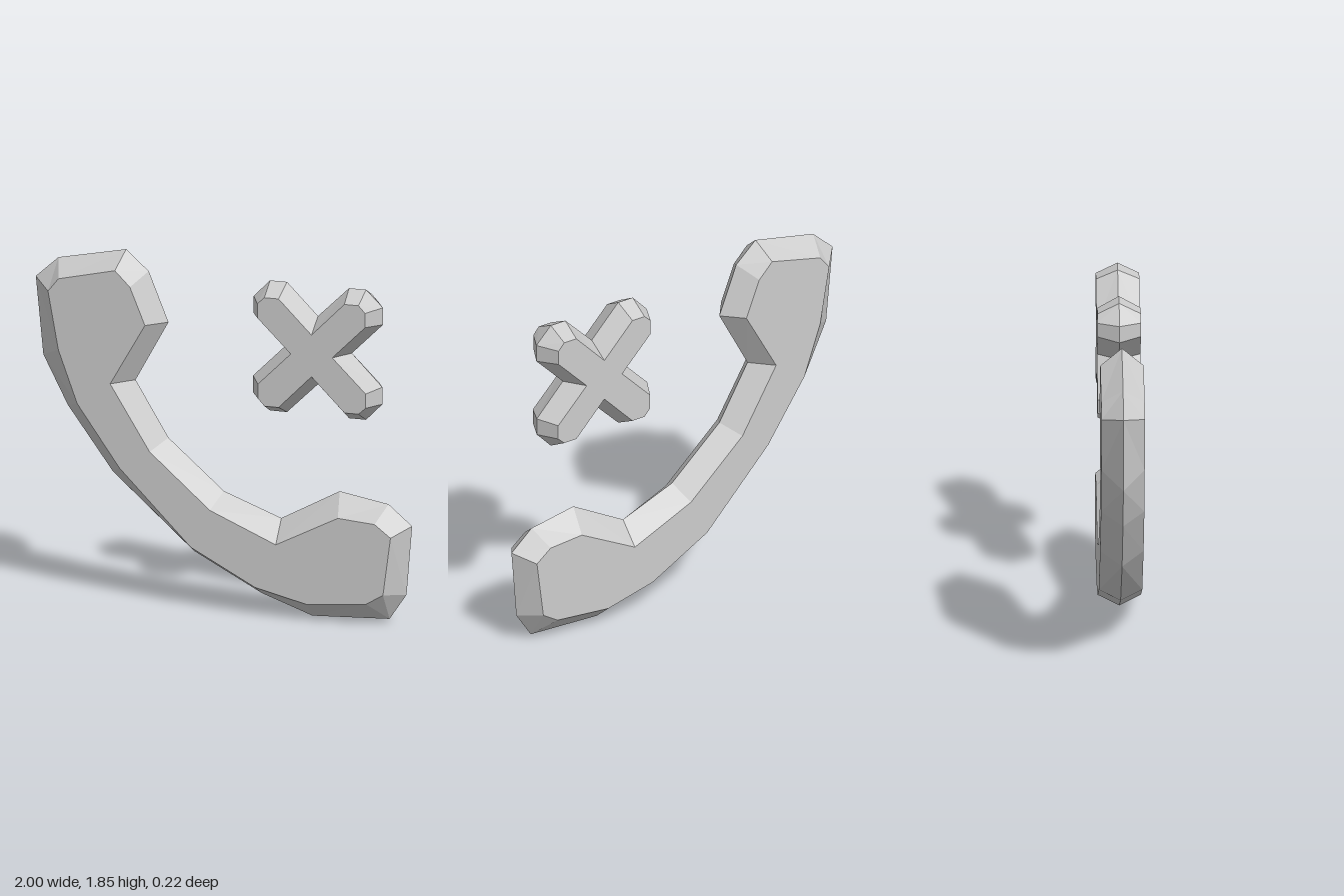
import * as THREE from 'three';

const HALF_DEPTH = 0.11;
const material = new THREE.MeshStandardMaterial({ color: 0xcccccc, flatShading: true });

// Solid with a wide outline at z = 0 bevelled to a smaller flat face on the front and back.
// Each row is [rim x, rim y, face x, face y], counter-clockwise.
function bevelledPlate(name, rows) {
  const rim = rows.map(([x, y]) => new THREE.Vector2(x, y));
  const face = rows.map(([, , x, y]) => new THREE.Vector2(x, y));
  const positions = [];
  const push = (...points) => points.forEach(([p, z]) => positions.push(p.x, p.y, z));
  const caps = THREE.ShapeUtils.triangulateShape(face, []);

  for (const side of [1, -1]) {
    const z = side * HALF_DEPTH;
    const triangle = (a, b, c) => (side > 0 ? push(a, b, c) : push(a, c, b));
    // flat face
    for (const [a, b, c] of caps) triangle([face[a], z], [face[b], z], [face[c], z]);
    // bevel band
    rows.forEach((_, i) => {
      const j = (i + 1) % rows.length;
      triangle([rim[i], 0], [rim[j], 0], [face[j], z]);
      triangle([rim[i], 0], [face[j], z], [face[i], z]);
    });
  }

  const geometry = new THREE.BufferGeometry();
  geometry.setAttribute('position', new THREE.Float32BufferAttribute(positions, 3));
  geometry.computeVertexNormals();
  const mesh = new THREE.Mesh(geometry, material);
  mesh.name = name;
  return mesh;
}

export function createModel() {
  const group = new THREE.Group();
  group.name = 'declinedCallIcon';

  // Handset: earpiece, inner curve, mouthpiece, then back along the outer curve
  const handset = [
    [-1, 1.66, -0.9, 1.62], [-0.88, 1.77, -0.845, 1.69],
    [-0.52, 1.845, -0.545, 1.76], [-0.4, 1.74, -0.465, 1.68],
    [-0.295, 1.48, -0.385, 1.485], [-0.47, 1.16, -0.57, 1.16],
    [-0.295, 0.87, -0.36, 0.82], [0, 0.615, -0.04, 0.54],
    [0.305, 0.5, 0.31, 0.39], [0.615, 0.67, 0.64, 0.56],
    [0.875, 0.625, 0.835, 0.545], [1, 0.52, 0.92, 0.48],
    [0.97, 0.155, 0.88, 0.175], [0.88, 0.02, 0.79, 0.12],
    [0.47, 0, 0.475, 0.09], [0.2, 0.095, 0.2, 0.155],
    [-0.16, 0.285, -0.14, 0.335], [-0.59, 0.665, -0.52, 0.72],
    [-0.83, 0.995, -0.745, 1.04], [-0.96, 1.25, -0.845, 1.315],
  ].reverse();
  group.add(bevelledPlate('handset', handset));

  // Cross: one notch and arm tip, turned through four quarter turns
  const arm = [
    [0.18, 0, 0.11, 0], [0.345, 0.165, 0.285, 0.175],
    [0.345, 0.255, 0.285, 0.25], [0.255, 0.342, 0.25, 0.288],
    [0.165, 0.342, 0.175, 0.288],
  ];
  const cross = [];
  for (let turn = 0; turn < 4; turn++) {
    const c = [1, 0, -1, 0][turn], s = [0, 1, 0, -1][turn];
    for (const [a, b, d, e] of arm) {
      cross.push([a * c - b * s, a * s + b * c, d * c - e * s, d * s + e * c]);
    }
  }
  const crossMesh = bevelledPlate('cross', cross);
  crossMesh.position.set(0.5, 1.405, 0);
  group.add(crossMesh);

  return group;
}
